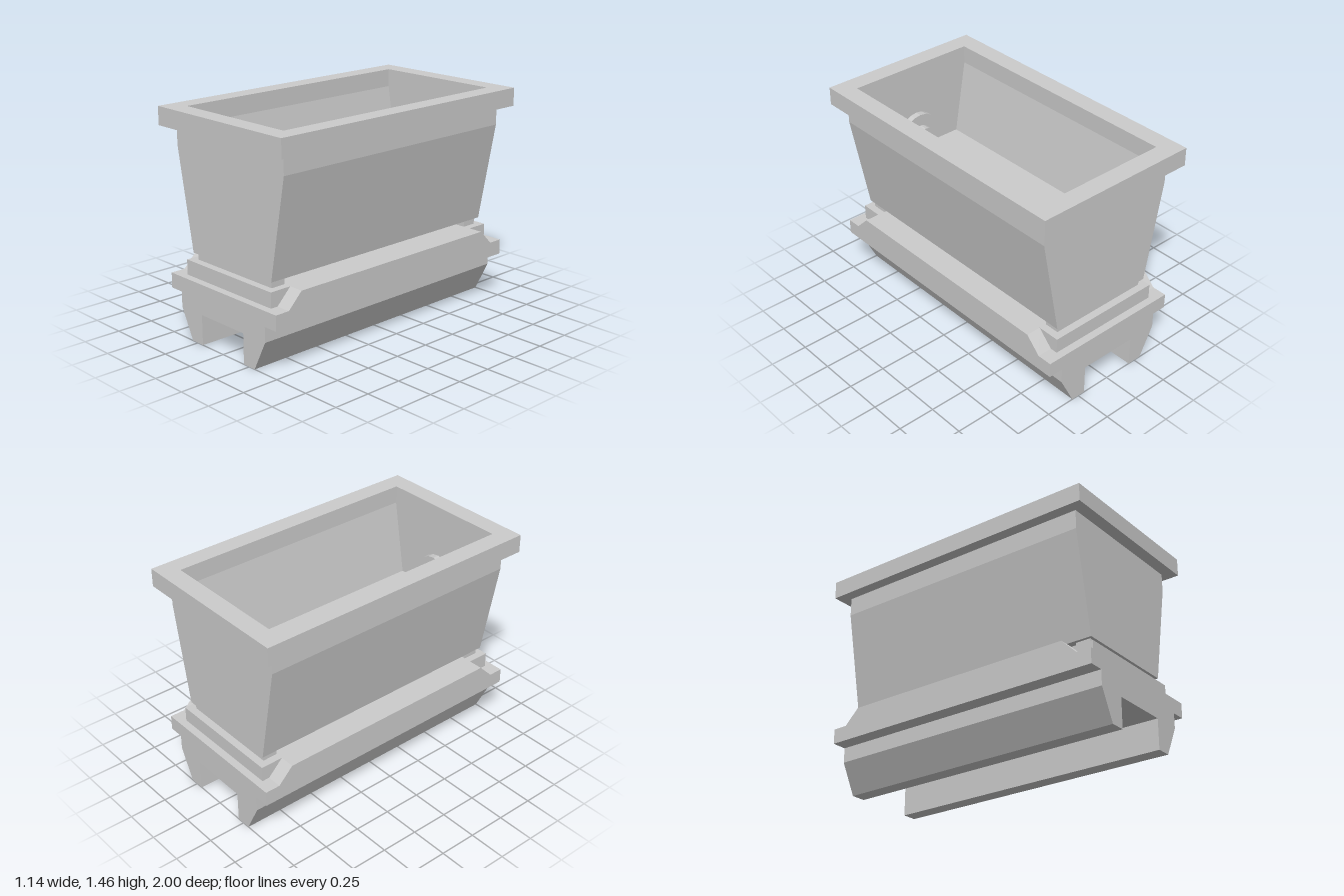
import * as THREE from 'three';

const material = new THREE.MeshStandardMaterial({ color: 0xcccccc, flatShading: true });

function add(parent, name, geometry, x = 0, y = 0, z = 0) {
  const mesh = new THREE.Mesh(geometry, material);
  mesh.name = name;
  mesh.position.set(x, y, z);
  parent.add(mesh);
  return mesh;
}

// Box given by its width, its bottom and top, and its range in z
function slab(parent, name, width, y0, y1, z0, z1) {
  return add(parent, name, new THREE.BoxGeometry(width, y1 - y0, z1 - z0), 0, (y0 + y1) / 2, (z0 + z1) / 2);
}

// Closed outline from its right half, mirrored across the centre line
function mirrored(half) {
  const left = half.map(([x, y]) => [-x, y]).reverse();
  return new THREE.Shape([...half, ...left].map(([x, y]) => new THREE.Vector2(x, y)));
}

function rectangle(PathType, w, h) {
  return new PathType([[-w, -h], [w, -h], [w, h], [-w, h]].map(([x, y]) => new THREE.Vector2(x, y)));
}

const extrude = (shape, depth) => new THREE.ExtrudeGeometry(shape, { depth, bevelEnabled: false });

export function createModel() {
  const model = new THREE.Group();
  model.name = 'hopper';

  // Base with two tapered runners
  const base = mirrored([[0.2, 0.2], [0.2, 0], [0.3, 0], [0.4, 0.2], [0.4, 0.3]]);
  add(model, 'runnerBase', extrude(base, 2), 0, 0, -1);

  // Deck plate, with rails that slope down at both ends
  slab(model, 'deckPlate', 1, 0.3, 0.4, -1, 1);
  const rail = mirrored([[0.9, 0.4], [0.8, 0.5]]);
  for (const side of [-1, 1]) {
    const mesh = add(model, 'sideRail', extrude(rail, 0.1).translate(0, 0, -0.05), side * 0.45);
    mesh.rotation.y = Math.PI / 2;
  }
  slab(model, 'bed', 0.8, 0.4, 0.5, -0.95, 0.95);

  // Hopper trough: outer walls, then the inner cavity
  const outer = [[0.37, 0.545], [0.495, 1.21], [0.495, 1.335]];
  const trough = mirrored([...outer, [0.445, 1.335], [0.36, 0.84]]);
  add(model, 'trough', extrude(trough, 1.75), 0, 0, -0.875);

  // Rim frame around the mouth
  const frame = rectangle(THREE.Shape, 0.57, 1);
  frame.holes.push(rectangle(THREE.Path, 0.445, 0.875));
  add(model, 'rim', extrude(frame, 0.12), 0, 1.335, 0).rotation.x = -Math.PI / 2;

  // Both ends: wall, support foot and the stepped boss inside
  for (const end of [-1, 1]) {
    add(model, 'endWall', extrude(mirrored(outer), 0.045), 0, 0, end > 0 ? 0.875 : -0.92);
    slab(model, 'supportFoot', 0.7, 0.5, 0.545, end * 0.85 - 0.05, end * 0.85 + 0.05);

    const profile = [[0, 0], [0.085, 0], [0.1, 0.025], [0.15, 0.025], [0.15, 0.07], [0.07, 0.07], [0.07, 0.125], [0, 0.125]];
    const boss = new THREE.LatheGeometry(profile.map(([r, y]) => new THREE.Vector2(r, y)), 20);
    add(model, 'innerBoss', boss, 0, 0.97, end * 0.878).rotation.x = -end * Math.PI / 2;
  }

  return model;
}
